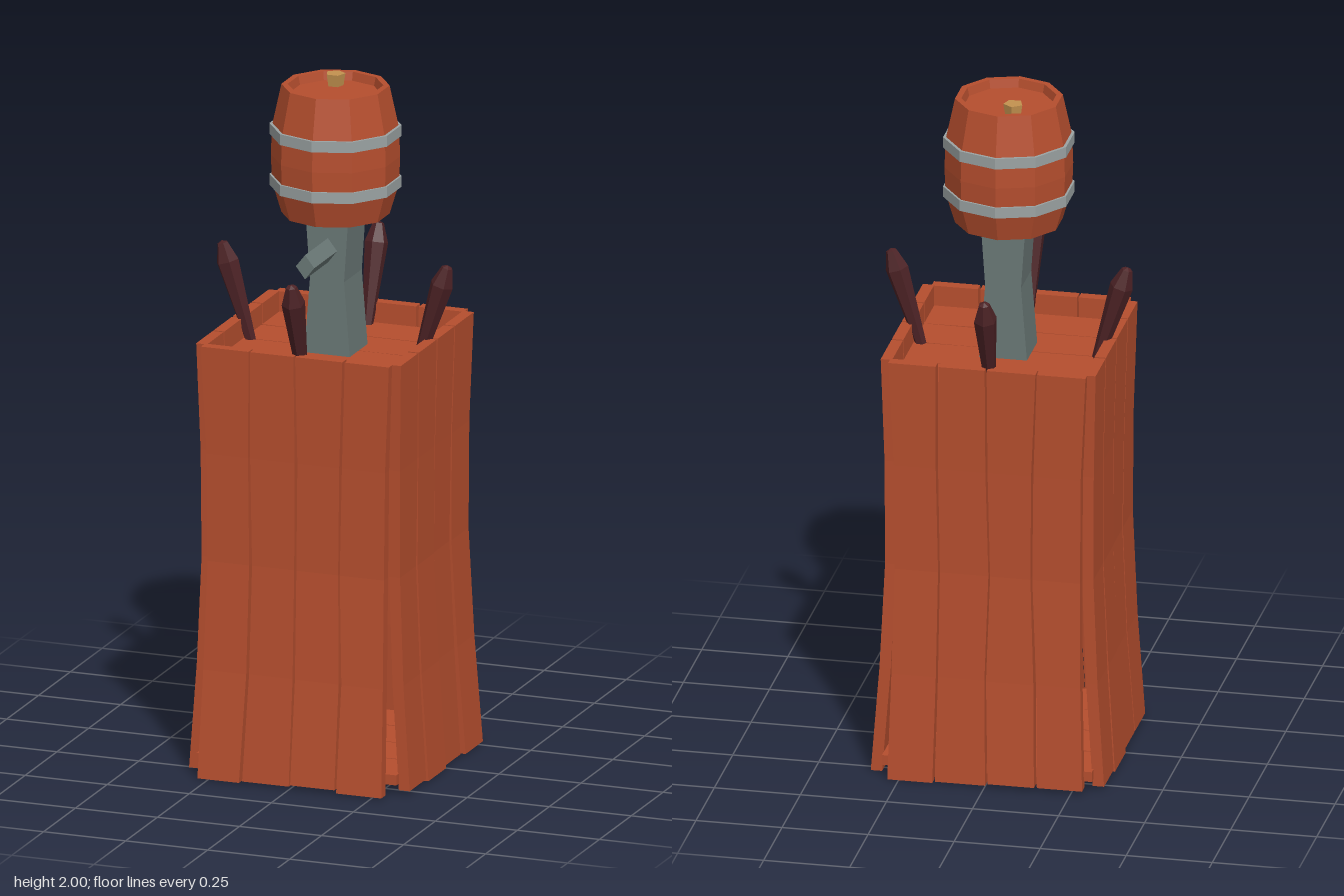
import * as THREE from 'three';

const mat = (name, color) => {
  const m = new THREE.MeshStandardMaterial({ color, flatShading: true });
  m.name = name;
  return m;
};

// Small repeatable random source, -1..1
function seeded(seed) {
  let s = seed;
  return () => {
    s = (s * 16807) % 2147483647;
    return (s / 2147483647) * 2 - 1;
  };
}

function flat(geo) {
  const g = geo.index ? geo.toNonIndexed() : geo;
  g.computeVertexNormals();
  return g;
}

export function createModel() {
  const root = new THREE.Group();
  root.name = 'barrelPumpOnCrate';
  const wood = mat('red wood', 0xb54e2e);
  const iron = mat('grey iron', 0x6a7876);
  const hoop = mat('pale hoop metal', 0x9ba3a3);
  const dark = mat('dark handle', 0x4c2225);
  const gold = mat('tan cork', 0xc3924f);

  const add = (parent, name, geo, material) => {
    const m = new THREE.Mesh(flat(geo), material);
    m.name = name;
    parent.add(m);
    return m;
  };

  // --- Crate walls: warped upright boards, flared at the foot
  const HEIGHT = 1.27, THICK = 0.033, ROWS = 4;
  const outer = [0.34, 0.317, 0.303, 0.304, 0.312]; // outer face by height
  const edge = [0.285, 0.278, 0.272, 0.275, 0.29]; // half width of a wall by height
  function wall(name, seed, angle, foot) {
    const group = new THREE.Group();
    group.name = name;
    const rnd = seeded(seed);
    // Wavy seams between neighbouring boards
    const seams = [-1, -0.5, 0, 0.5, 1].map((f, i) =>
      edge.map((e) => f * e + (i % 4 ? rnd() * 0.007 : 0)));
    for (let i = 0; i < 4; i++) {
      const geo = new THREE.BoxGeometry(1, 1, 1, 1, ROWS, 1);
      const p = geo.attributes.position;
      const kick = foot + rnd() * 0.008, drop = Math.abs(rnd()) * 0.012;
      const gaps = edge.map(() => 0.002 + Math.abs(rnd()) * 0.003);
      for (let v = 0; v < p.count; v++) {
        const t = p.getY(v) + 0.5, r = Math.round(t * ROWS);
        const x = p.getX(v) < 0 ? seams[i][r] + gaps[r] : seams[i + 1][r] - gaps[r];
        const z = outer[r] + kick * (1 - t) ** 2 - (p.getZ(v) < 0 ? THICK : 0);
        p.setXYZ(v, x, r === 0 ? drop : t * HEIGHT, z);
      }
      add(group, 'wallBoard', geo, wood);
    }
    group.rotation.y = angle;
    root.add(group);
  }
  wall('frontWall', 11, 0, 0.012);
  wall('leftWall', 207, Math.PI / 2, -0.005);
  wall('backWall', 3301, Math.PI, -0.004);
  wall('rightWall', 4507, -Math.PI / 2, -0.002);

  // --- Recessed lid and floor, boards running sideways
  function deck(name, y, half, seed) {
    const group = new THREE.Group();
    group.name = name;
    const rnd = seeded(seed);
    const w = half / 2;
    for (let i = 0; i < 4; i++) {
      const geo = new THREE.BoxGeometry(half * 2, 0.03, w - 0.004, 4, 1, 1);
      const p = geo.attributes.position;
      const wave = [0, 1, 2, 3, 4].map(() => rnd() * 0.0015);
      for (let v = 0; v < p.count; v++) {
        const c = Math.round((p.getX(v) / half + 1) * 2);
        p.setZ(v, p.getZ(v) + wave[c]);
      }
      add(group, 'deckBoard', geo, wood).position.set(0, y, (i - 1.5) * w);
    }
    root.add(group);
  }
  deck('lid', 1.195, 0.282, 91);
  deck('floor', 0.045, 0.305, 57);

  // --- Four handles leaning outwards
  const handleProfile = [[0, 0], [0.014, 0], [0.02, 0.08], [0.034, 0.265], [0.016, 0.32], [0, 0.327]]
    .map(([x, y]) => new THREE.Vector2(x, y));
  for (let i = 0; i < 4; i++) {
    const pivot = new THREE.Group();
    pivot.name = 'handle';
    pivot.rotation.y = (i * Math.PI) / 2;
    const m = add(pivot, 'handleGrip', new THREE.LatheGeometry(handleProfile, 6), dark);
    m.position.set(0, 1.18, 0.248);
    m.rotation.x = 0.3;
    root.add(pivot);
  }

  // --- Waisted iron post
  const post = new THREE.BoxGeometry(0.13, 0.46, 0.14, 1, 2, 1);
  const pp = post.attributes.position;
  for (let v = 0; v < pp.count; v++) {
    const y = pp.getY(v);
    const k = Math.abs(y) < 0.01 ? 0.8 : y > 0 ? 1.04 : 1.08;
    pp.setX(v, pp.getX(v) * k);
  }
  add(root, 'post', post, iron).position.set(0.003, 1.43, 0);

  // --- Diamond section spout
  const spout = new THREE.CylinderGeometry(1, 1, 0.22, 4);
  spout.rotateX(Math.PI / 2);
  spout.scale(0.028, 0.036, 1);
  add(root, 'spout', spout, iron).position.set(0.006, 1.52, 0.14);

  // --- Ten sided barrel with sunken ends
  const SIDES = 10, BZ = -0.005;
  const lathe = (pts) =>
    new THREE.LatheGeometry(pts.map(([x, y]) => new THREE.Vector2(x, y)), SIDES);
  add(root, 'barrel', lathe([
    [0, 1.65], [0.13, 1.65], [0.136, 1.61], [0.154, 1.61], [0.181, 1.7], [0.184, 1.78],
    [0.181, 1.865], [0.154, 1.99], [0.136, 1.99], [0.13, 1.965], [0, 1.965],
  ]), wood).position.z = BZ;
  for (const y of [1.706, 1.857]) {
    const h = 0.016;
    add(root, 'barrelHoop', lathe([
      [0.17, y - h], [0.188, y - h], [0.188, y + h], [0.17, y + h],
    ]), hoop).position.z = BZ;
  }

  // --- Cork in the barrel top
  const cork = new THREE.CylinderGeometry(0.029, 0.022, 0.045, 5);
  cork.rotateY(Math.PI);
  add(root, 'cork', cork, gold).position.set(-0.029, 1.978, -0.078);

  return root;
}
